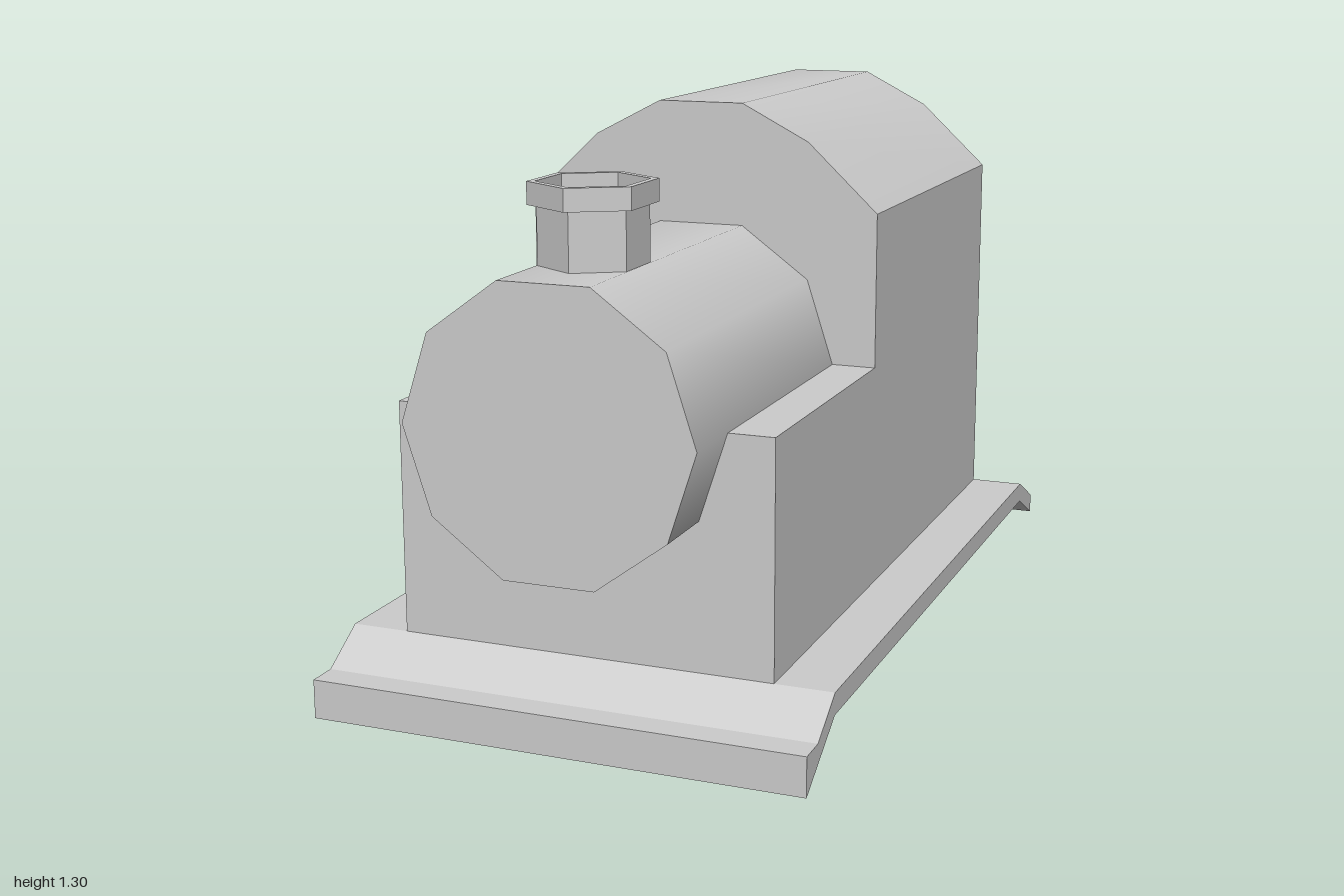
import * as THREE from 'three';

const flat = new THREE.MeshStandardMaterial({ color: 0xcccccc, side: THREE.DoubleSide, flatShading: true });
const smooth = new THREE.MeshStandardMaterial({ color: 0xcccccc, side: THREE.DoubleSide });

const BACK = -0.86, STEP = 0.13, FRONT = 0.82, NOSE = 0.99; // stations along z
const W = 0.44, FLOOR = 0.16, LEDGE = 0.695, EAVES = 1.06;

const roofArc = [[-W, EAVES], [-0.27, 1.22], [-0.105, 1.305], [0.105, 1.305], [0.27, 1.22], [W, EAVES]];
const upperArc = [[-0.335, LEDGE], [-0.27, 0.895], [-0.105, 1.015], [0.105, 1.015], [0.27, 0.895], [0.335, LEDGE]];
const lowerArc = [[0.335, LEDGE], [0.27, 0.497], [0.105, 0.375], [-0.105, 0.375], [-0.27, 0.497], [-0.335, LEDGE]];

// Sheet swept along z from a clockwise (x, y) profile; centreY gives radial normals
function strip(profile, z0, z1, centreY) {
  const n = profile.length;
  const geo = new THREE.PlaneGeometry(1, 1, n - 1, 1);
  const pos = geo.attributes.position;
  for (let i = 0; i < pos.count; i++) {
    const [x, y] = profile[i % n];
    pos.setXYZ(i, x, y, i < n ? z0 : z1);
  }
  geo.computeVertexNormals();
  if (centreY !== undefined) {
    for (let i = 0; i < pos.count; i++) {
      const v = new THREE.Vector3(pos.getX(i), pos.getY(i) - centreY, 0).normalize();
      geo.attributes.normal.setXYZ(i, v.x, v.y, v.z);
    }
  }
  return geo;
}

const shapeOf = (points) => new THREE.Shape(points.map(([x, y]) => new THREE.Vector2(x, y)));
const panel = (points, z) => new THREE.ShapeGeometry(shapeOf(points)).translate(0, 0, z);

export function createModel() {
  const model = new THREE.Group();
  const add = (name, geo, mat = flat) => {
    const mesh = new THREE.Mesh(geo, mat);
    mesh.name = name;
    model.add(mesh);
    return mesh;
  };

  // Base frame: side rails and sloping end aprons
  for (const s of [-1, 1]) {
    add(s > 0 ? 'leftRail' : 'rightRail',
      new THREE.BoxGeometry(0.135, 0.05, FRONT - BACK).translate(s * 0.5075, 0.135, (FRONT + BACK) / 2));
  }
  const apron = (points) => new THREE.ExtrudeGeometry(shapeOf(points), { depth: 1.15, bevelEnabled: false })
    .rotateY(-Math.PI / 2).translate(0.575, 0, 0);
  add('frontApron', apron([[FRONT, 0.11], [1, 0], [1, 0.09], [0.93, 0.09], [FRONT, FLOOR]]));
  add('backApron', apron([[BACK, FLOOR], [-1, 0.09], [-1, 0.04], [BACK, 0.11]]));

  // Hollow housing: walls and ledges beside the barrel
  add('rightCabWall', strip([[-W, FLOOR], [-W, EAVES]], BACK, STEP));
  add('leftCabWall', strip([[W, EAVES], [W, FLOOR]], BACK, STEP));
  add('rightLowWall', strip([[-W, FLOOR], [-W, LEDGE]], STEP, FRONT));
  add('leftLowWall', strip([[W, LEDGE], [W, FLOOR]], STEP, FRONT));
  add('rightLedge', strip([[-W, LEDGE], [-0.335, LEDGE]], STEP, FRONT));
  add('leftLedge', strip([[0.335, LEDGE], [W, LEDGE]], STEP, FRONT));
  add('backWall', panel([[-W, FLOOR], [W, FLOOR], ...[...roofArc].reverse()], 0).rotateY(Math.PI).translate(0, 0, BACK));
  add('cabFrontWall', panel([[-W, LEDGE], ...upperArc, [W, LEDGE], ...[...roofArc].reverse()], STEP));
  add('lowFrontWall', panel([[-W, FLOOR], [W, FLOOR], [W, LEDGE], ...lowerArc, [-W, LEDGE]], FRONT));
  add('roof', strip(roofArc, BACK, STEP), smooth);

  // Ten-sided barrel, its lower half showing only ahead of the housing
  add('barrelTop', strip(upperArc, STEP, NOSE, LEDGE), smooth);
  add('barrelBottom', strip(lowerArc, FRONT, NOSE, LEDGE), smooth);
  add('barrelFace', panel([...upperArc, ...lowerArc.slice(1, -1)], NOSE));

  // Six-sided chimney with a recessed rim
  const profile = [[0.119, 1.015], [0.119, 1.145], [0.139, 1.145], [0.139, 1.195],
    [0.121, 1.195], [0.121, 1.16], [0, 1.16]].map(([r, y]) => new THREE.Vector2(r, y));
  add('chimney', new THREE.LatheGeometry(profile, 6).scale(1, 1, 1.06).translate(0, 0, 0.74));

  return model;
}
